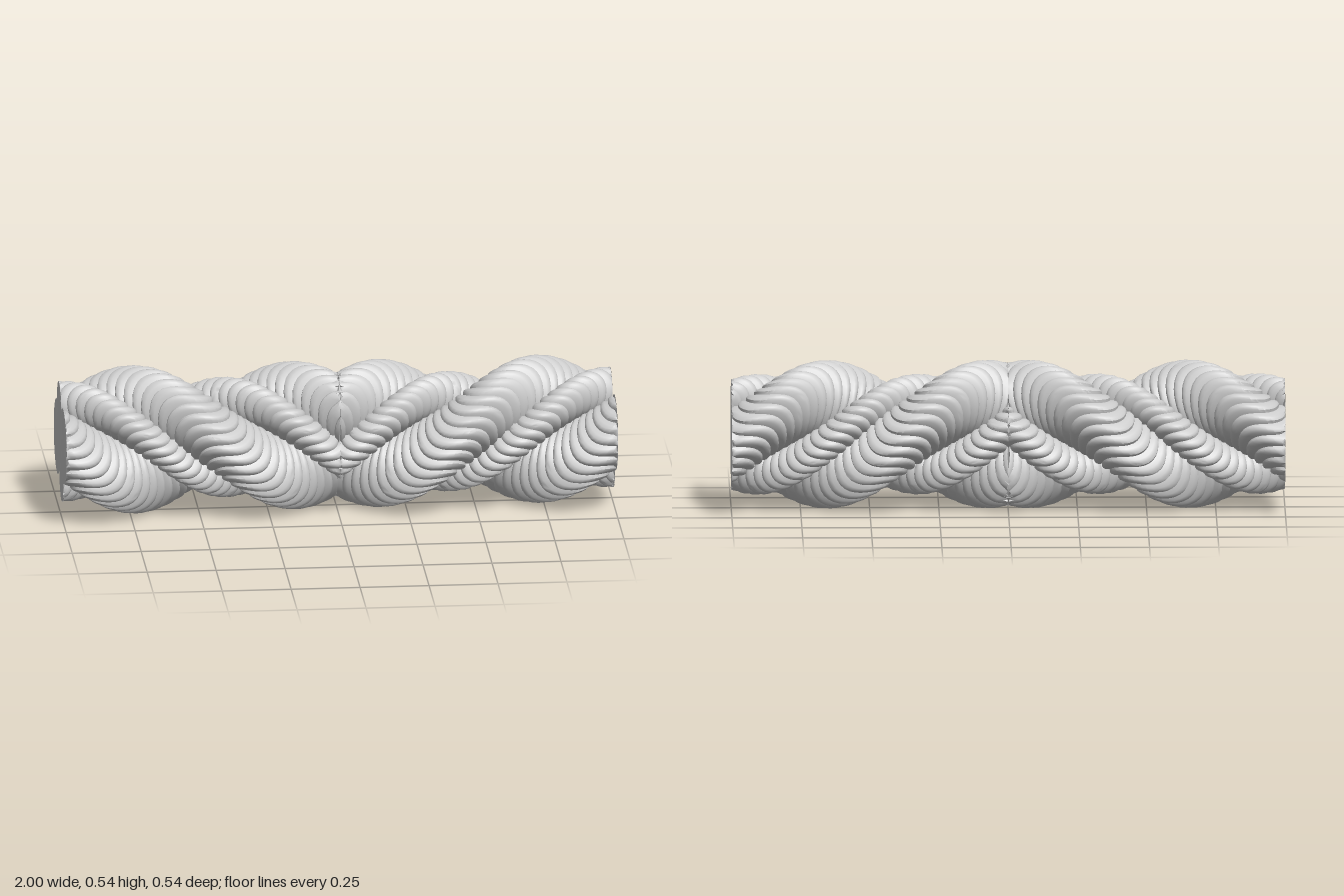
import * as THREE from 'three';
import { toCreasedNormals } from 'three/addons/utils/BufferGeometryUtils.js';

const TWIST = (2 * Math.PI) / 1.16; // radians of twist per unit of length
const AXIS_Y = 0.27;
const RIDGE = 0.029; // spacing of the wound ridges
const PUFF = [0, 0.75, 1, 0.8]; // ridge height over one spacing
const SIDES = 28;

// One half-length strand from x = 0 to x = 1 (times side), winding round the axis.
// Rows of vertices lean so that the ridges cross the strand at right angles.
function strandGeometry({ offset, radius, width, peakX, depth }, side) {
  const lean = TWIST * offset;
  const pad = lean * width + RIDGE;
  const step = RIDGE / PUFF.length;
  const rows = Math.ceil((1 + 2 * pad) / step);
  const pos = [];
  const index = [];
  const add = (x, out, along) => {
    const phi = TWIST * (x - peakX);
    const c = Math.cos(phi), s = Math.sin(phi);
    pos.push(side * x, AXIS_Y + out * c - along * s, -out * s - along * c);
  };
  const tri = (a, b, c) => (side > 0 ? index.push(a, b, c) : index.push(a, c, b));

  for (let i = 0; i <= rows; i++) {
    const drop = depth * (1 - PUFF[i % PUFF.length]);
    for (let j = 0; j < SIDES; j++) {
      const a = (j / SIDES) * 2 * Math.PI;
      const along = (width - drop) * Math.sin(a);
      const x = THREE.MathUtils.clamp(-pad + i * step - lean * along, 0, 1);
      add(x, offset + (radius - drop) * Math.cos(a), along);
    }
  }
  for (let i = 0; i < rows; i++) {
    for (let j = 0; j < SIDES; j++) {
      const k = (j + 1) % SIDES;
      const a = i * SIDES + j, b = a + SIDES, c = i * SIDES + k, d = c + SIDES;
      tri(a, b, c);
      tri(b, d, c);
    }
  }
  // cut end
  const centre = pos.length / 3;
  add(1, offset, 0);
  for (let j = 0; j < SIDES; j++) {
    tri(centre, rows * SIDES + ((j + 1) % SIDES), rows * SIDES + j);
  }

  const geo = new THREE.BufferGeometry();
  geo.setAttribute('position', new THREE.Float32BufferAttribute(pos, 3));
  geo.setIndex(index);
  return toCreasedNormals(geo, 0.7);
}

export function createModel() {
  const rope = new THREE.Group();
  rope.name = 'rope';
  const material = new THREE.MeshStandardMaterial({ color: 0xcccccc, side: THREE.DoubleSide });

  // two thick strands with two thinner ones laid in the grooves
  const kinds = [
    { name: 'mainStrand', offset: 0.13, radius: 0.138, width: 0.138, peakX: 0.1, depth: 0.013 },
    { name: 'grooveStrand', offset: 0.138, radius: 0.08, width: 0.08, peakX: 0.35, depth: 0.011 },
  ];

  // the twist is mirrored about the middle of the rope
  for (const side of [1, -1]) {
    const half = new THREE.Group();
    half.name = side > 0 ? 'leftHalf' : 'rightHalf';
    for (const kind of kinds) {
      for (const turn of [0, 1]) {
        const spec = { ...kind, peakX: kind.peakX + turn * 0.58 };
        const mesh = new THREE.Mesh(strandGeometry(spec, side), material);
        mesh.name = kind.name + (turn + 1);
        half.add(mesh);
      }
    }
    rope.add(half);
  }
  return rope;
}
